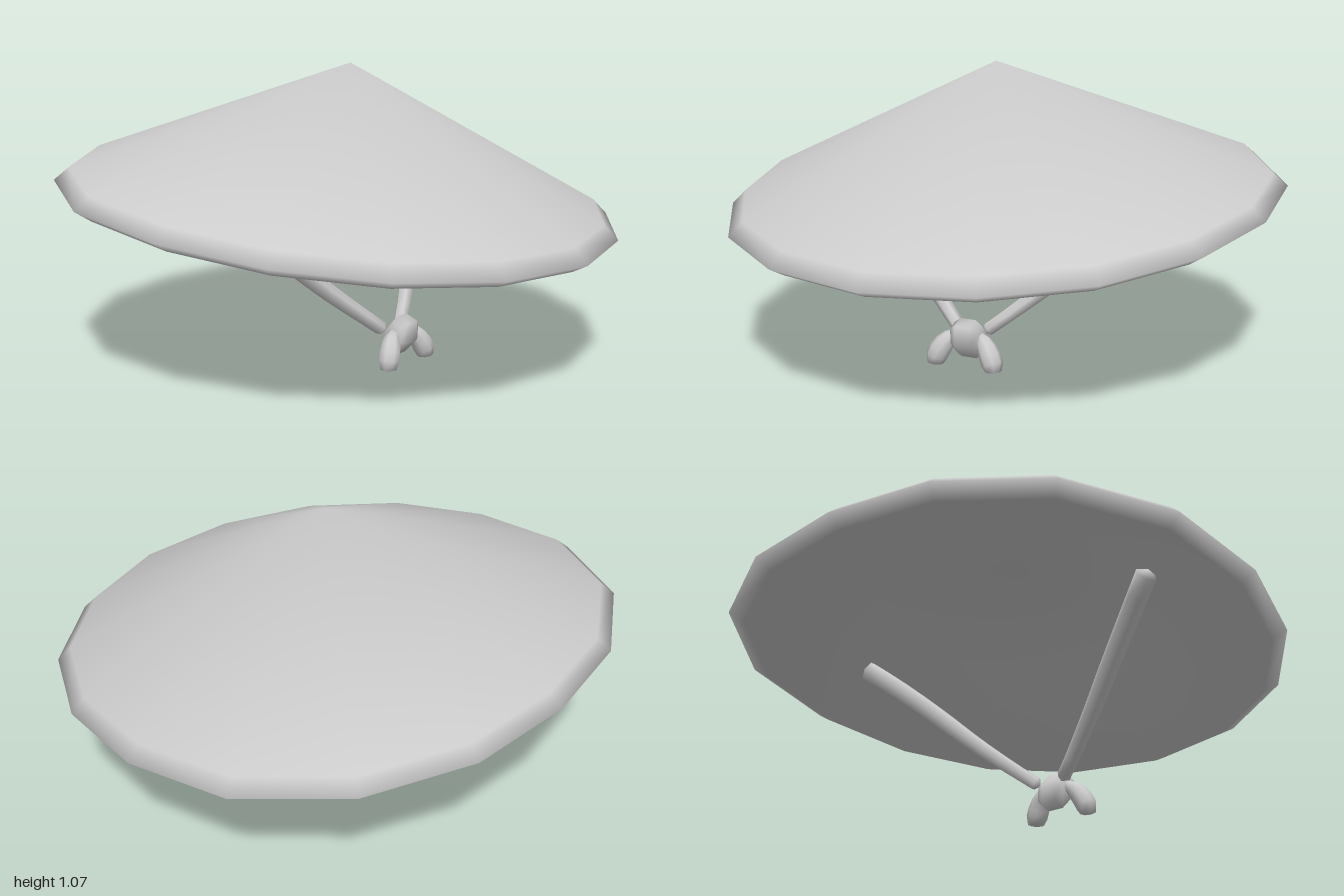
import * as THREE from 'three';
import { mergeVertices } from 'three/addons/utils/BufferGeometryUtils.js';

const grey = new THREE.MeshStandardMaterial({ color: 0xcccccc, side: THREE.DoubleSide });

function smooth(geo) {
  geo.deleteAttribute('uv');
  geo.deleteAttribute('normal');
  const g = mergeVertices(geo, 1e-4);
  g.computeVertexNormals();
  return g;
}

function add(group, name, geo) {
  const mesh = new THREE.Mesh(geo, grey);
  mesh.name = name;
  group.add(mesh);
  return mesh;
}

// Hollow sixteen-sided cone with a bevelled rim, sloping down to the front
function hatGeometry() {
  const sides = 16;
  const outline = [0.985, 0.982, 0.983, 0.984, 1, 1.04, 1.043, 1.012, 0.986]; // front to back
  // scale of the outline and height above the rim plane, outer apex to inner crown
  const rings = [[0, 0.494], [0.95, 0.048], [1, 0], [0.945, -0.034], [0.5, 0.19], [0, 0.34]];
  const pos = [], index = [];
  rings.forEach(([s, h]) => {
    for (let i = 0; i < sides; i++) {
      const a = (i / sides) * Math.PI * 2;
      const r = s * outline[i <= 8 ? i : sides - i];
      const z = r * Math.cos(a) + (s === 0 ? 0.02 : 0);
      pos.push(r * Math.sin(a), 0.584 - 0.122 * z + h, z);
    }
  });
  for (let k = 0; k < rings.length - 1; k++) {
    for (let i = 0; i < sides; i++) {
      const a = k * sides + i, b = k * sides + (i + 1) % sides;
      const c = a + sides, d = b + sides;
      if (k > 0) index.push(a, d, b);
      if (k < rings.length - 2) index.push(a, c, d);
    }
  }
  const geo = new THREE.BufferGeometry();
  geo.setAttribute('position', new THREE.Float32BufferAttribute(pos, 3));
  geo.setIndex(index);
  return smooth(geo);
}

// Tube with a radius per ring and closed ends
function taperedTube(points, radii, sides) {
  const curve = new THREE.CatmullRomCurve3(points.map(p => new THREE.Vector3(...p)));
  const n = radii.length - 1;
  const geo = new THREE.TubeGeometry(curve, n, 1, sides, false);
  const p = geo.attributes.position, v = new THREE.Vector3();
  for (let i = 0; i <= n; i++) {
    const ring = curve.getPointAt(i / n), centre = ring.clone();
    if (i === 0) centre.lerp(curve.getPointAt(1 / n), 0.75);
    if (i === n) centre.lerp(curve.getPointAt(1 - 1 / n), 0.75);
    for (let j = 0; j <= sides; j++) {
      const id = i * (sides + 1) + j;
      v.fromBufferAttribute(p, id).sub(ring).multiplyScalar(radii[i]).add(centre);
      p.setXYZ(id, v.x, v.y, v.z);
    }
  }
  return smooth(geo);
}

export function createModel() {
  const model = new THREE.Group();
  add(model, 'hat', hatGeometry());

  // Chin straps and loose ends, mirrored
  for (const s of [1, -1]) {
    const side = s > 0 ? 'left' : 'right';
    add(model, side + 'Strap', taperedTube(
      [[0, 0.09, 0.23], [s * 0.08, 0.152, 0.195], [s * 0.25, 0.295, 0.108],
        [s * 0.42, 0.455, 0.02], [s * 0.55, 0.57, -0.05], [s * 0.7, 0.69, -0.135]],
      [0, 0.026, 0.027, 0.029, 0.031, 0.033, 0.035, 0.036, 0.037, 0.038, 0.039, 0.04, 0], 6));
    add(model, side + 'StrapEnd', taperedTube(
      [[s * 0.02, 0.125, 0.235], [s * 0.065, 0.105, 0.252], [s * 0.098, 0.065, 0.268], [s * 0.114, 0.028, 0.273], [s * 0.12, -0.018, 0.276]],
      [0, 0.022, 0.03, 0.036, 0.039, 0.039, 0.03, 0], 8));
  }

  // Knot: a bulging band lying across the straps
  const profile = [[0, -0.054], [0.75, -0.054], [1, -0.03], [1, 0.03], [0.75, 0.054], [0, 0.054]];
  const knotGeo = new THREE.LatheGeometry(profile.map(([x, y]) => new THREE.Vector2(x, y)), 6);
  knotGeo.rotateZ(Math.PI / 2).scale(1, 0.077, 0.052);
  const knot = add(model, 'knot', smooth(knotGeo));
  knot.position.set(0.003, 0.108, 0.245);
  knot.rotation.x = 0.4;
  return model;
}
